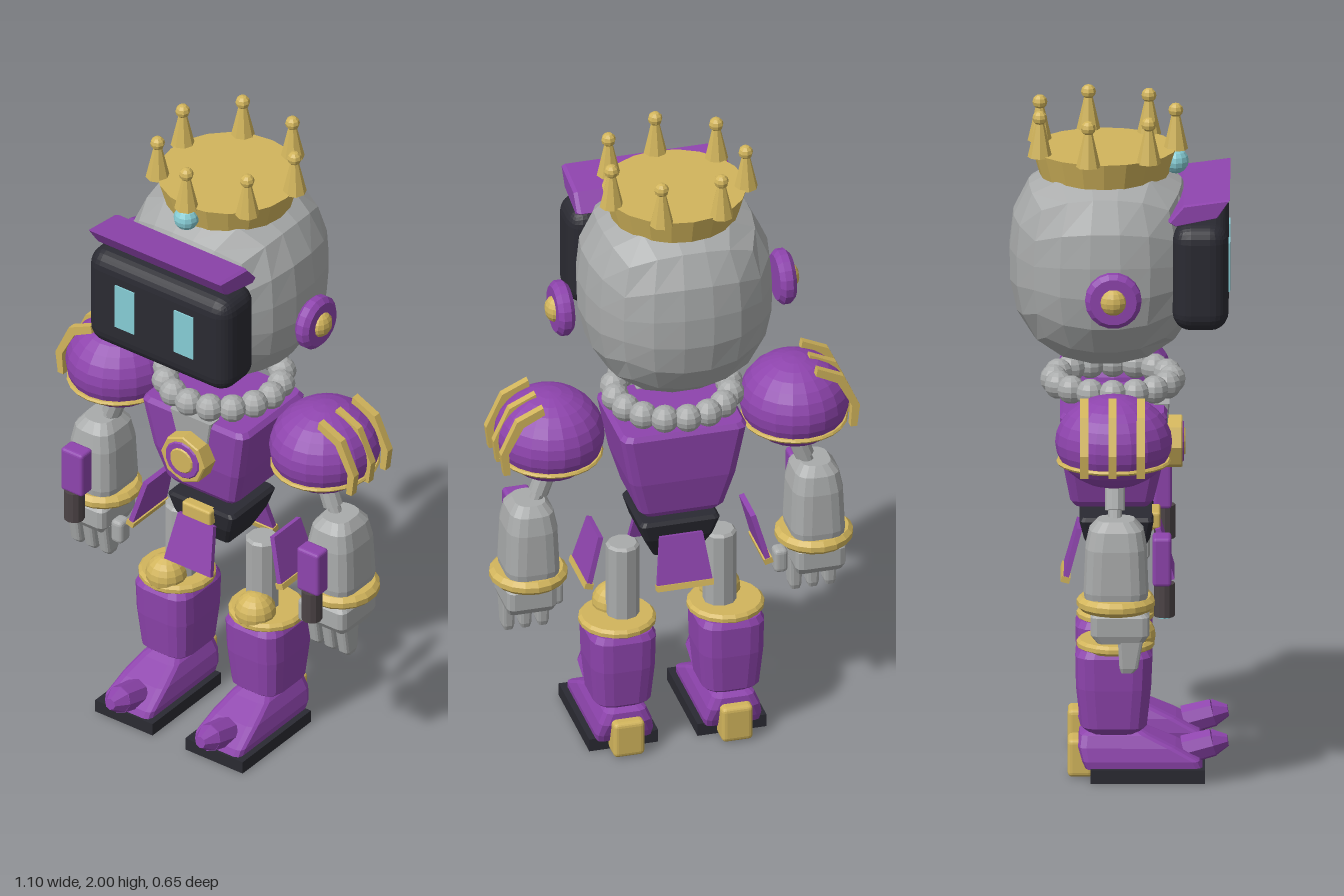
import * as THREE from 'three';
import { RoundedBoxGeometry } from 'three/addons/geometries/RoundedBoxGeometry.js';

const paint = (name, color) => Object.assign(new THREE.MeshStandardMaterial({ color }), { name });

// Faceted normals for the low-poly look
function flat(geo) {
  const g = geo.index ? geo.toNonIndexed() : geo;
  g.computeVertexNormals();
  return g;
}

// Stack of rounded rectangles: each section is [y, halfWidth, zBack, zFront, cornerRadius]
function loft(sections, n = 3) {
  const pos = [], idx = [], count = 4 * (n + 1);
  for (const [y, hx, z0, z1, r] of sections) {
    const hz = (z1 - z0) / 2, cz = (z0 + z1) / 2;
    for (let k = 0; k < 4; k++) for (let j = 0; j <= n; j++) {
      const a = (k + j / n) * Math.PI / 2;
      const sx = k === 0 || k === 3 ? 1 : -1, sz = k < 2 ? 1 : -1;
      pos.push(sx * (hx - r) + r * Math.cos(a), y, cz + sz * (hz - r) + r * Math.sin(a));
    }
  }
  const last = sections.length - 1;
  for (let i = 0; i < last; i++) for (let a = 0; a < count; a++) {
    const b = (a + 1) % count, lo = i * count, hi = lo + count;
    idx.push(lo + a, hi + a, lo + b, hi + a, hi + b, lo + b);
  }
  for (let a = 1; a < count - 1; a++) {
    idx.push(0, a, a + 1, last * count, last * count + a + 1, last * count + a);
  }
  const g = new THREE.BufferGeometry();
  g.setAttribute('position', new THREE.Float32BufferAttribute(pos, 3));
  g.setIndex(idx);
  return g;
}

// Disc with bevelled edges, axis along y
function disc(r, h, bevel, sides) {
  const pts = [[0, -h / 2], [r - bevel, -h / 2], [r, -h / 2 + bevel], [r, h / 2 - bevel], [r - bevel, h / 2], [0, h / 2]];
  return new THREE.LatheGeometry(pts.map(p => new THREE.Vector2(...p)), sides);
}

// Cube sphere, squarer above than below
function headGeometry() {
  const g = new THREE.BoxGeometry(2, 2, 2, 5, 5, 5), p = g.attributes.position, v = new THREE.Vector3();
  for (let i = 0; i < p.count; i++) {
    v.fromBufferAttribute(p, i);
    v.set(...v.toArray().map(c => Math.tan(c * Math.PI / 4)));
    const e = v.y > 0 ? 3 : 2.3;
    const flatLen = (Math.abs(v.x) ** 2.3 + Math.abs(v.z) ** 2.3) ** (1 / 2.3);
    v.divideScalar((flatLen ** e + Math.abs(v.y) ** e) ** (1 / e));
    p.setXYZ(i, v.x * 0.285, v.y * 0.305, v.z * 0.283);
  }
  return g;
}

export function createModel() {
  const model = new THREE.Group();
  model.name = 'robot';
  const purple = paint('purple', 0x8e44ad), gold = paint('gold', 0xd2b55c), grey = paint('grey', 0xa9abab);
  const black = paint('black', 0x2a2a32), teal = paint('teal', 0x86ccd4), brown = paint('darkMetal', 0x4c4446);

  const add = (name, geo, mat, x = 0, y = 0, z = 0, parent = model) => {
    const m = new THREE.Mesh(flat(geo), mat);
    m.name = name;
    m.position.set(x, y, z);
    parent.add(m);
    return m;
  };
  const box = (w, h, d, r) => new RoundedBoxGeometry(w, h, d, 2, r);
  const rod = (name, mat, a, b, ra, rb, sides = 10) => {
    const p = new THREE.Vector3(...a), q = new THREE.Vector3(...b), d = q.clone().sub(p);
    const m = add(name, new THREE.CylinderGeometry(rb, ra, d.length(), sides), mat, ...p.clone().add(q).multiplyScalar(0.5));
    m.quaternion.setFromUnitVectors(new THREE.Vector3(0, 1, 0), d.normalize());
    return m;
  };

  // Head and face
  add('head', headGeometry(), grey, 0, 1.522, -0.042);
  add('visor', new RoundedBoxGeometry(0.52, 0.325, 0.165, 3, 0.055), black, 0, 1.528, 0.238);
  for (const s of [-1, 1]) add('eye', new THREE.BoxGeometry(0.07, 0.147, 0.008), teal, s * 0.108, 1.537, 0.321);
  const brow = new THREE.Shape([[0.15, 1.70], [0.165, 1.69], [0.285, 1.715], [0.32, 1.765], [0.19, 1.747]]
    .map(([z, y]) => new THREE.Vector2(-z, y)));
  const browGeo = new THREE.ExtrudeGeometry(brow, { depth: 0.46, bevelSize: 0.004, bevelThickness: 0.012, bevelSegments: 1 });
  add('brow', browGeo.translate(0, 0, -0.23).rotateY(Math.PI / 2), purple);

  // Crown
  const crown = new THREE.Group();
  crown.name = 'crown';
  crown.position.z = -0.045;
  model.add(crown);
  add('crownBand', new THREE.CylinderGeometry(0.213, 0.19, 0.08, 20), gold, 0, 1.826, 0, crown);
  for (let i = 0; i < 7; i++) {
    const a = i * Math.PI * 2 / 7, x = 0.21 * Math.sin(a), z = 0.21 * Math.cos(a);
    add('crownSpike', new THREE.CylinderGeometry(0.012, 0.036, 0.105, 8), gold, x, 1.913, z, crown);
    add('crownBall', new THREE.SphereGeometry(0.022, 8, 6), gold, x, 1.978, z, crown);
  }
  add('crownGem', new THREE.SphereGeometry(0.038, 12, 8), teal, 0, 1.824, 0.165);

  // Bead collar
  for (let i = 0; i < 16; i++) {
    const a = i * Math.PI / 8;
    add('collarBead', new THREE.SphereGeometry(0.042, 10, 8), grey, 0.173 * Math.sin(a), 1.16, -0.02 + 0.173 * Math.cos(a));
  }

  // Torso and chest badge
  add('torso', loft([[0.80, 0.11, -0.13, 0.085, 0.02], [0.82, 0.13, -0.145, 0.10, 0.025], [0.93, 0.163, -0.165, 0.125, 0.03],
    [1.085, 0.192, -0.175, 0.14, 0.03], [1.10, 0.18, -0.165, 0.13, 0.025]], 2), purple);
  add('chestPlate', loft([[0.98, 0.05, 0.10, 0.136, 0.004], [1.103, 0.075, 0.10, 0.147, 0.004]], 1), grey);
  const rings = [['badgeRim', 0.08, gold, 0.15, 0.07], ['badgeRing', 0.062, purple, 0.184, 0.01], ['badgeCore', 0.042, gold, 0.186, 0.014]];
  for (const [name, r, mat, z, h] of rings) {
    add(name, disc(r, h, 0.004, r > 0.07 ? 8 : 14), mat, 0, 0.97, z).rotation.x = Math.PI / 2;
  }

  // Pelvis and hip flaps
  add('pelvis', loft([[0.63, 0.07, -0.07, 0.055, 0.01], [0.70, 0.105, -0.105, 0.09, 0.015],
    [0.755, 0.122, -0.118, 0.10, 0.015], [0.766, 0.112, -0.11, 0.095, 0.012]], 2), black);
  add('beltBuckle', box(0.105, 0.052, 0.04, 0.008), gold, 0, 0.74, 0.10);
  const flapShape = new THREE.Shape([[-0.085, -0.145], [0.085, -0.145], [0.065, 0.01], [-0.065, 0.01]].map(p => new THREE.Vector2(...p)));
  for (const [turn, x, z] of [[0, 0, 0.115], [1, 0.235, -0.01], [2, 0, -0.12], [3, -0.235, -0.01]]) {
    const flap = new THREE.Group();
    flap.name = 'hipFlap';
    flap.position.set(x, 0.71, z);
    flap.rotation.set(-0.27, turn * Math.PI / 2, 0, 'YXZ');
    model.add(flap);
    add('flapPlate', new THREE.ExtrudeGeometry(flapShape, { depth: 0.016, bevelEnabled: false }), purple, 0, 0, -0.008, flap);
    if (turn) add('flapTrim', new THREE.BoxGeometry(0.172, 0.018, 0.026), gold, 0, -0.145, 0, flap);
  }

  // Curved strip used on the shoulders
  const strip = new THREE.Shape([[0.04, 0.118], [0.045, 0.142], [0.125, 0.105], [0.174, 0], [0.165, -0.07],
    [0.145, -0.07], [0.15, 0], [0.105, 0.085]].map(p => new THREE.Vector2(...p)));

  for (const s of [-1, 1]) {
    // Ear
    add('earDisc', disc(0.083, 0.05, 0.014, 18), purple, s * 0.338, 1.49, -0.018).rotation.z = Math.PI / 2;
    add('earKnob', new THREE.SphereGeometry(0.04, 12, 8).scale(0.75, 1, 1), gold, s * 0.357, 1.49, -0.018);

    // Shoulder
    add('shoulder', new THREE.SphereGeometry(1, 20, 14).scale(0.162, 0.138, 0.172), purple, s * 0.373, 1.072, -0.017);
    add('shoulderRim', new THREE.TorusGeometry(1, 0.055, 6, 24).rotateX(Math.PI / 2).scale(0.15, 0.13, 0.16), gold, s * 0.373, 1.013, -0.017);
    for (const z of [-0.103, -0.02, 0.063]) {
      const g = new THREE.ExtrudeGeometry(strip, { depth: 0.024, bevelEnabled: false }).translate(0, 0, -0.012);
      add('shoulderStrip', g, gold, s * 0.373, 1.072, z).rotation.y = s < 0 ? Math.PI : 0;
    }

    // Arm
    rod('upperArm', grey, [s * 0.365, 0.98, -0.013], [s * 0.405, 0.87, -0.013], 0.03, 0.03);
    rod('elbow', grey, [s * 0.395, 0.895, -0.013], [s * 0.42, 0.83, -0.013], 0.02, 0.02);
    add('forearm', loft([[0.60, 0.077, -0.10, 0.08, 0.05], [0.64, 0.082, -0.105, 0.085, 0.05], [0.77, 0.077, -0.10, 0.08, 0.05],
      [0.825, 0.066, -0.088, 0.07, 0.045], [0.853, 0.045, -0.065, 0.045, 0.035]]), grey, s * 0.435);
    add('cuff', disc(0.116, 0.042, 0.013, 18), gold, s * 0.435, 0.60, -0.01);
    add('armPlate', box(0.08, 0.148, 0.055, 0.01), purple, s * 0.432, 0.728, 0.125);
    add('armBarrel', new THREE.CylinderGeometry(0.031, 0.031, 0.10, 12), brown, s * 0.435, 0.608, 0.132);
    add('barrelTip', new THREE.CylinderGeometry(0.021, 0.021, 0.006, 12), teal, s * 0.435, 0.556, 0.132);

    // Hand
    add('palm', loft([[0.49, 0.068, -0.065, 0.07, 0.015], [0.515, 0.076, -0.085, 0.088, 0.02], [0.57, 0.076, -0.085, 0.088, 0.02],
      [0.59, 0.06, -0.07, 0.07, 0.02]], 2), grey, s * 0.44);
    for (const x of [0.385, 0.438, 0.49]) {
      add('finger', loft([[0.40, 0.013, 0.005, 0.04, 0.006], [0.415, 0.018, 0, 0.055, 0.01], [0.51, 0.02, -0.005, 0.072, 0.01]], 2), grey, s * x);
    }
    add('thumb', box(0.042, 0.078, 0.05, 0.014), grey, s * 0.342, 0.498, 0.03);

    // Leg
    add('thigh', disc(0.05, 0.25, 0.008, 10), grey, s * 0.148, 0.53, -0.01);
    add('kneeRim', disc(0.115, 0.03, 0.009, 18), gold, s * 0.165, 0.402, -0.012);
    add('kneeCap', new THREE.SphereGeometry(0.062, 14, 10), gold, s * 0.163, 0.425, 0.045);
    add('shin', loft([[0.138, 0.065, -0.09, 0.055, 0.04], [0.16, 0.087, -0.115, 0.08, 0.05], [0.28, 0.098, -0.128, 0.093, 0.055],
      [0.375, 0.1, -0.13, 0.097, 0.055], [0.395, 0.09, -0.12, 0.085, 0.05]]), purple, s * 0.165);

    // Foot
    add('foot', loft([[0.036, 0.085, -0.10, 0.245, 0.02], [0.06, 0.088, -0.11, 0.235, 0.02], [0.10, 0.08, -0.122, 0.165, 0.025],
      [0.135, 0.065, -0.118, 0.09, 0.025], [0.148, 0.05, -0.095, 0.065, 0.02]], 2), purple, s * 0.165);
    rod('toeHorn', purple, [s * 0.165, 0.075, 0.19], [s * 0.165, 0.098, 0.275], 0.045, 0.042, 8);
    rod('toeTip', purple, [s * 0.165, 0.098, 0.275], [s * 0.165, 0.105, 0.318], 0.042, 0.018, 8);
    add('sole', new THREE.BoxGeometry(0.21, 0.04, 0.335), black, s * 0.165, 0.02, 0.083);
    add('heel', box(0.095, 0.115, 0.075, 0.014), gold, s * 0.165, 0.06, -0.115);
  }
  return model;
}
